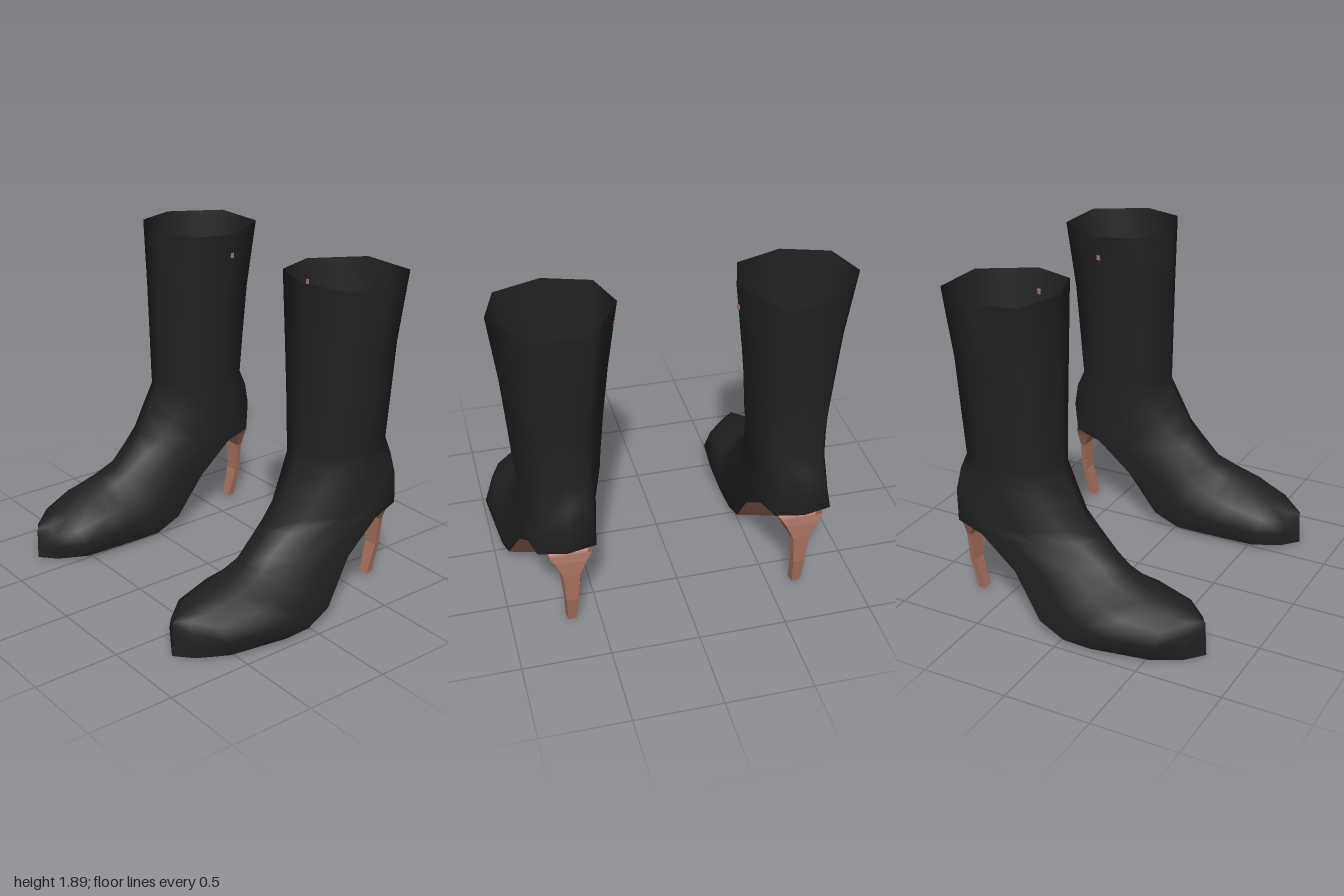
import * as THREE from 'three';

const black = new THREE.MeshStandardMaterial({ color: 0x222222, side: THREE.DoubleSide });
black.name = 'black leather';
const tan = new THREE.MeshStandardMaterial({ color: 0xa87361, side: THREE.DoubleSide });
tan.name = 'rose tan';

// Half cross-sections from front/top to back/bottom: [depth fraction, half-width fraction]
const SHAFT = [[0, 0], [0.14, 0.78], [0.52, 1], [0.8, 0.7], [1, 0.48], [1, 0]];
const FOOT = [[0, 0], [0.07, 0.4], [0.28, 0.8], [0.6, 1], [1, 0.86], [1, 0]];

// Rings: front z,y | back z,y | inner x, outer x | shaft-to-foot blend | bulge of the back centre
const RINGS = [
  [-0.12, 1.9, -0.74, 1.9, 0.315, 0.99, 0, 0],
  [-0.12, 1.5, -0.695, 1.5, 0.365, 0.94, 0, 0],
  [-0.12, 1.2, -0.68, 1.2, 0.395, 0.915, 0, 0],
  [-0.12, 0.95, -0.665, 0.93, 0.415, 0.895, 0, 0],
  [-0.11, 0.88, -0.715, 0.825, 0.425, 0.885, 0, 0.03],
  [-0.04, 0.76, -0.73, 0.7, 0.43, 0.9, 0.2, 0.05],
  [0.03, 0.63, -0.7, 0.535, 0.43, 0.915, 0.5, 0.04],
  [0.1, 0.55, -0.53, 0.5, 0.43, 0.915, 0.8, 0],
  [0.21, 0.44, -0.31, 0.33, 0.435, 0.915, 1, 0],
  [0.29, 0.4, -0.13, 0.09, 0.44, 0.965, 1, 0.08],
  [0.36, 0.37, 0.03, 0.025, 0.435, 0.985, 1, 0],
  [0.45, 0.335, 0.2, 0.03, 0.425, 1.0, 1, 0],
  [0.61, 0.27, 0.53, 0.02, 0.46, 0.925, 1, 0],
  [0.71, 0.23, 0.69, 0.012, 0.57, 0.81, 1, 0],
  [0.76, 0.21, 0.77, 0.005, 0.69, 0.69, 1, 0],
];
const SOLE_START = 6; // ring where the sole begins at the back of the heel

function ringPoints([fz, fy, bz, by, x0, x1, blend, bulge]) {
  const cx = (x0 + x1) / 2, hw = (x1 - x0) / 2;
  const at = (k, sign) => {
    const t = THREE.MathUtils.lerp(SHAFT[k][0], FOOT[k][0], blend) + (k === 5 ? bulge : 0);
    const w = THREE.MathUtils.lerp(SHAFT[k][1], FOOT[k][1], blend);
    return [cx + sign * hw * w, fy + (by - fy) * t, fz + (bz - fz) * t];
  };
  return [0, 1, 2, 3, 4, 5].map(k => at(k, 1)).concat([4, 3, 2, 1].map(k => at(k, -1)));
}

// Skin closed rings of points; keep(row, column) selects the faces, side mirrors x
function loft(rings, side, keep = () => true) {
  const n = rings[0].length, index = [];
  const tri = (a, b, c) => index.push(...(side > 0 ? [a, b, c] : [a, c, b]));
  for (let i = 0; i < rings.length - 1; i++) {
    for (let j = 0; j < n; j++) {
      if (!keep(i, j)) continue;
      const a = i * n + j, b = i * n + (j + 1) % n, c = a + n, d = b + n;
      tri(c, d, b);
      tri(c, b, a);
    }
  }
  const g = new THREE.BufferGeometry();
  const pos = rings.flat().flatMap(([x, y, z]) => [x * side, y, z]);
  g.setAttribute('position', new THREE.Float32BufferAttribute(pos, 3));
  g.setIndex(index);
  g.computeVertexNormals();
  return g;
}

function add(group, name, geometry, material) {
  const mesh = new THREE.Mesh(geometry, material);
  mesh.name = name;
  group.add(mesh);
  return mesh;
}

function makeBoot(side) {
  const boot = new THREE.Group();
  boot.name = side > 0 ? 'leftBoot' : 'rightBoot';

  // Upper and sole share one set of rings
  const rings = RINGS.map(ringPoints);
  const isSole = (i, j) => i >= SOLE_START && (j === 4 || j === 5);
  add(boot, 'upper', loft(rings, side, (i, j) => !isSole(i, j)), black);
  add(boot, 'sole', loft(rings, side, isSole), tan);

  // Slim curved heel: y, front z, back z, half width
  const heel = [
    [0.52, -0.6, -0.728, 0.15],
    [0.47, -0.655, -0.738, 0.11],
    [0.38, -0.705, -0.742, 0.06],
    [0.2, -0.7, -0.736, 0.042],
    [0.02, -0.65, -0.7, 0.03],
    [0.02, -0.675, -0.675, 0],
  ].map(([y, zf, zb, w]) => [
    [0.66 - w, y, zf], [0.66 + w, y, zf], [0.66 + w * 0.8, y, zb], [0.66 - w * 0.8, y, zb],
  ]);
  const heelGeometry = loft(heel, side).toNonIndexed();
  heelGeometry.computeVertexNormals();
  add(boot, 'heel', heelGeometry, tan);

  // Small tab on the inner side of the shaft
  const tab = add(boot, 'zipTab', new THREE.BoxGeometry(0.009, 0.03, 0.02), tan);
  tab.position.set(side * 0.333, 1.77, -0.435);
  return boot;
}

export function createModel() {
  const model = new THREE.Group();
  model.name = 'heeledBoots';
  model.add(makeBoot(1), makeBoot(-1));
  return model;
}
